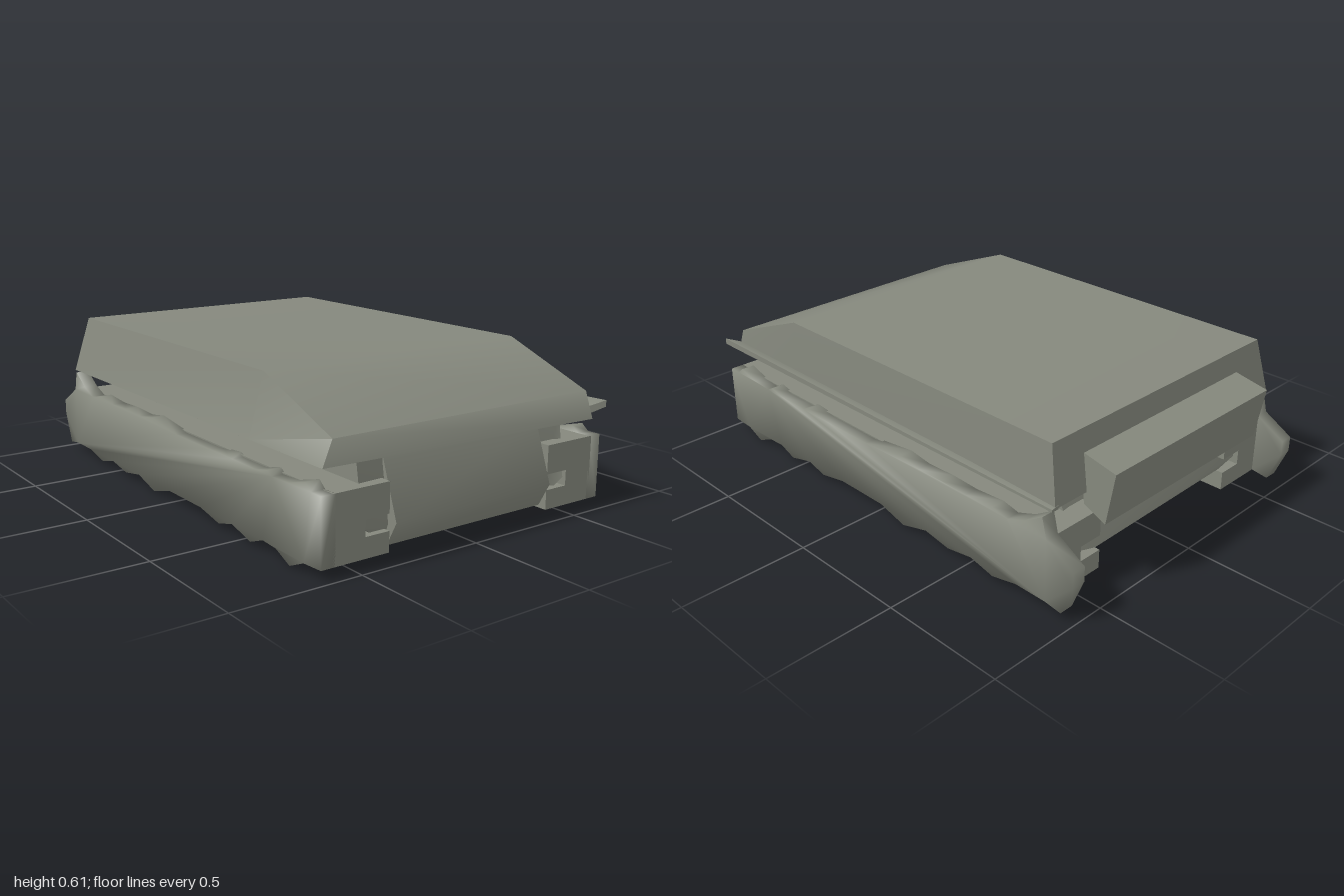
import * as THREE from 'three';
import { toCreasedNormals } from 'three/addons/utils/BufferGeometryUtils.js';

const material = new THREE.MeshStandardMaterial({ color: 0x85887d, side: THREE.DoubleSide });

function part(name, geometry, crease = 0.7) {
  const mesh = new THREE.Mesh(toCreasedNormals(geometry, crease), material);
  mesh.name = name;
  return mesh;
}

// Closed solid through rings running along +x; each ring is counterclockwise seen from +x
function loft(rings) {
  const n = rings[0].length, last = (rings.length - 1) * n, index = [];
  for (let i = 0; i < rings.length - 1; i++) {
    for (let j = 0; j < n; j++) {
      const a = i * n + j, b = i * n + (j + 1) % n;
      index.push(a, b, a + n, b, b + n, a + n);
    }
  }
  for (let j = 1; j < n - 1; j++) {
    index.push(0, j + 1, j, last, last + j, last + j + 1);
  }
  const g = new THREE.BufferGeometry();
  g.setAttribute('position', new THREE.Float32BufferAttribute(rings.flat(2), 3));
  g.setIndex(index);
  return g;
}

// Flat outline in x and y, given thickness from z = start
function plate(points, start, depth) {
  const shape = new THREE.Shape(points.map(([x, y]) => new THREE.Vector2(x, y)));
  return new THREE.ExtrudeGeometry(shape, { depth, bevelEnabled: false }).translate(0, 0, start);
}

// Lumpy outline following the road wheels, with a mudflap tip near the rear
const skirtTop = [[0.975, 0.29], [0.92, 0.29], [0.89, 0.315], [0.8, 0.29], [0.7, 0.285], [0.67, 0.3], [0.6, 0.285],
  [0.45, 0.285], [0.42, 0.295], [0.3, 0.285], [0.05, 0.285], [-0.15, 0.31], [-0.25, 0.295], [-0.38, 0.3],
  [-0.5, 0.295], [-0.63, 0.305], [-0.7, 0.29], [-0.78, 0.32], [-0.86, 0.37], [-0.88, 0.29]];
const skirtBottom = [[-1, 0.22], [-1, 0.16], [-0.95, 0.035], [-0.88, 0.045], [-0.74, 0.045], [-0.63, 0.02],
  [-0.52, 0.045], [-0.4, 0.025], [-0.28, 0.045], [-0.15, 0.01], [-0.02, 0.045], [0.22, 0.045], [0.35, 0.02],
  [0.44, 0.045], [0.56, 0.015], [0.64, 0.045], [0.72, 0.04], [0.8, 0.005], [0.88, 0.04], [0.975, 0.045]];

function createTrack(side) {
  const track = new THREE.Group();
  track.name = side > 0 ? 'frontSideTrack' : 'backSideTrack';

  // Track run with a slot along its inner wall
  const section = [[0.37, 0.045], [0.6, 0.045], [0.6, 0.29], [0.37, 0.29],
    [0.37, 0.18], [0.47, 0.18], [0.47, 0.12], [0.37, 0.12]];
  const run = plate(section, -0.975, 1.855).rotateY(-Math.PI / 2);
  track.add(part('trackRun', run));

  // Outer wheel skirt, shaded softly around its rim
  track.add(part('wheelSkirt', plate([...skirtTop, ...skirtBottom], 0.59, 0.056), 1.6));

  track.scale.z = side;
  return track;
}

export function createModel() {
  const model = new THREE.Group();
  model.name = 'trackedHull';

  // Upper hull: flat roof, sloping nose plate, one flared side
  const upperRing = (xLow, yLow, xTop, yTop) => [
    [xLow, yLow, -0.595], [xTop, yTop, -0.585], [xTop, yTop, 0.585], [xLow, 0.38, 0.645],
  ];
  model.add(part('upperHull', loft([
    upperRing(-0.87, 0.38, -0.84, 0.61), upperRing(0.56, 0.37, 0.56, 0.61), upperRing(0.98, 0.357, 0.95, 0.46),
  ]), 1));

  // Thin ledge along the back side, rising to a point at the front
  model.add(part('sideLedge', loft([
    [[-0.87, 0.375, -0.61], [-0.87, 0.385, -0.61], [-0.87, 0.39, -0.58], [-0.87, 0.375, -0.58]],
    [[0.998, 0.4, -0.645], [0.998, 0.425, -0.645], [0.96, 0.4, -0.58], [0.96, 0.37, -0.58]],
  ])));

  // Lower hull filling the slots between the tracks, its floor rising to the rear
  const lowerRing = (xLow, yLow, xMid, xTop) => [
    [xLow, yLow, -0.37], [xMid, 0.15, -0.47], [xTop, 0.385, -0.48],
    [xTop, 0.385, 0.47], [xMid, 0.15, 0.47], [xLow, yLow + 0.01, 0.37],
  ];
  model.add(part('lowerHull', loft([
    lowerRing(-0.86, 0.12, -0.86, -0.76), lowerRing(0.93, 0.055, 0.96, 0.92),
  ])));

  // Blunt wedge on the front of the lower hull
  model.add(part('nosePlate', plate([[0.9, 0.06], [0.95, 0.06], [0.998, 0.15], [0.92, 0.37]], -0.36, 0.72), 1));

  // Tilted stowage box across the rear
  model.add(part('rearBox', plate([[-0.955, 0.29], [-0.86, 0.33], [-0.84, 0.525], [-0.99, 0.495]], -0.44, 0.88)));

  model.add(createTrack(1), createTrack(-1));
  return model;
}
